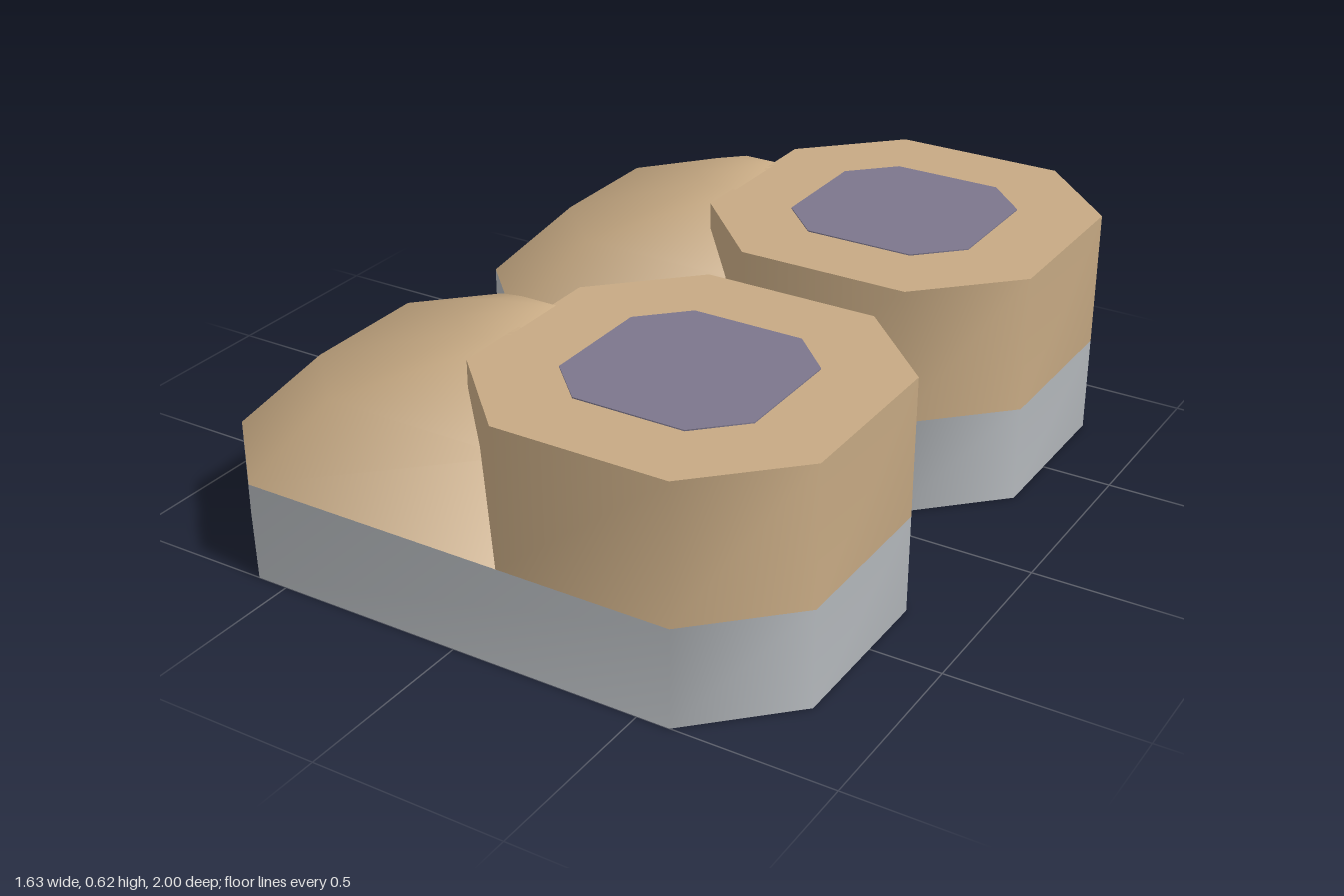
import * as THREE from 'three';

const tan = new THREE.MeshStandardMaterial({ color: 0xc6a983 });
tan.name = 'tan leather';
const grey = new THREE.MeshStandardMaterial({ color: 0xb3b7bb });
grey.name = 'grey sole';
const purple = new THREE.MeshStandardMaterial({ color: 0x7c768c });
purple.name = 'purple lining';

// Octagon outline as [x, z] pairs, running from +x towards +z
function octagon(x0, x1, hw, cut) {
  return [
    [x1, -hw + cut], [x1, hw - cut], [x1 - cut, hw], [x0 + cut, hw],
    [x0, hw - cut], [x0, -hw + cut], [x0 + cut, -hw], [x1 - cut, -hw],
  ];
}

// Skin a stack of rings { y, pts } with smooth walls.
// The caps are sharp unless smoothTop joins the top to the walls.
function loft(rings, smoothTop = false) {
  const pos = [], index = [];
  const n = rings[0].pts.length;
  const addRing = ({ y, pts }) => {
    const start = pos.length / 3;
    pts.forEach(([x, z]) => pos.push(x, y, z));
    return start;
  };
  rings.forEach(addRing);
  for (let r = 0; r < rings.length - 1; r++) {
    for (let i = 0; i < n; i++) {
      const j = (i + 1) % n;
      const a = r * n + i, b = r * n + j;
      index.push(a, a + n, b, b, a + n, b + n);
    }
  }
  const last = rings.length - 1;
  const top = smoothTop ? last * n : addRing(rings[last]);
  const bottom = addRing(rings[0]);
  for (let i = 1; i < n - 1; i++) {
    index.push(top, top + i + 1, top + i);
    index.push(bottom, bottom + i, bottom + i + 1);
  }
  const geo = new THREE.BufferGeometry();
  geo.setAttribute('position', new THREE.Float32BufferAttribute(pos, 3));
  geo.setIndex(index);
  geo.computeVertexNormals();
  return geo;
}

const prism = (pts, y0, y1) => loft([{ y: y0, pts }, { y: y1, pts }]);

// Toe cross-section: blunt rounded front, straight sides running into the shaft
function toeRing(y, front, corner, back, hw) {
  return {
    y,
    pts: [
      [back, -hw], [back, hw], [corner, hw],
      [front, hw / 2], [front, -hw / 2], [corner, -hw],
    ],
  };
}

function createShoe(name) {
  const shoe = new THREE.Group();
  shoe.name = name;
  const add = (part, geo, mat) => {
    const mesh = new THREE.Mesh(geo, mat);
    mesh.name = part;
    shoe.add(mesh);
  };

  add('sole', prism(octagon(-0.815, 0.815, 0.46, 0.23), 0, 0.258), grey);
  add('shaft', prism(octagon(-0.1, 0.815, 0.46, 0.23), 0.258, 0.62), tan);
  add('toe', loft([
    toeRing(0.258, -0.815, -0.59, 0.2, 0.46),
    toeRing(0.48, -0.59, -0.42, 0.1, 0.345),
    toeRing(0.62, -0.25, -0.19, -0.09, 0.115),
  ], true), tan);
  // Lining seen through the leg opening
  add('opening', prism(octagon(0.1, 0.61, 0.26, 0.11), 0.618, 0.623), purple);
  return shoe;
}

export function createModel() {
  const model = new THREE.Group();
  model.name = 'pairOfShoes';
  for (const [name, z] of [['frontShoe', 0.54], ['backShoe', -0.54]]) {
    const shoe = createShoe(name);
    shoe.position.z = z;
    model.add(shoe);
  }
  return model;
}
